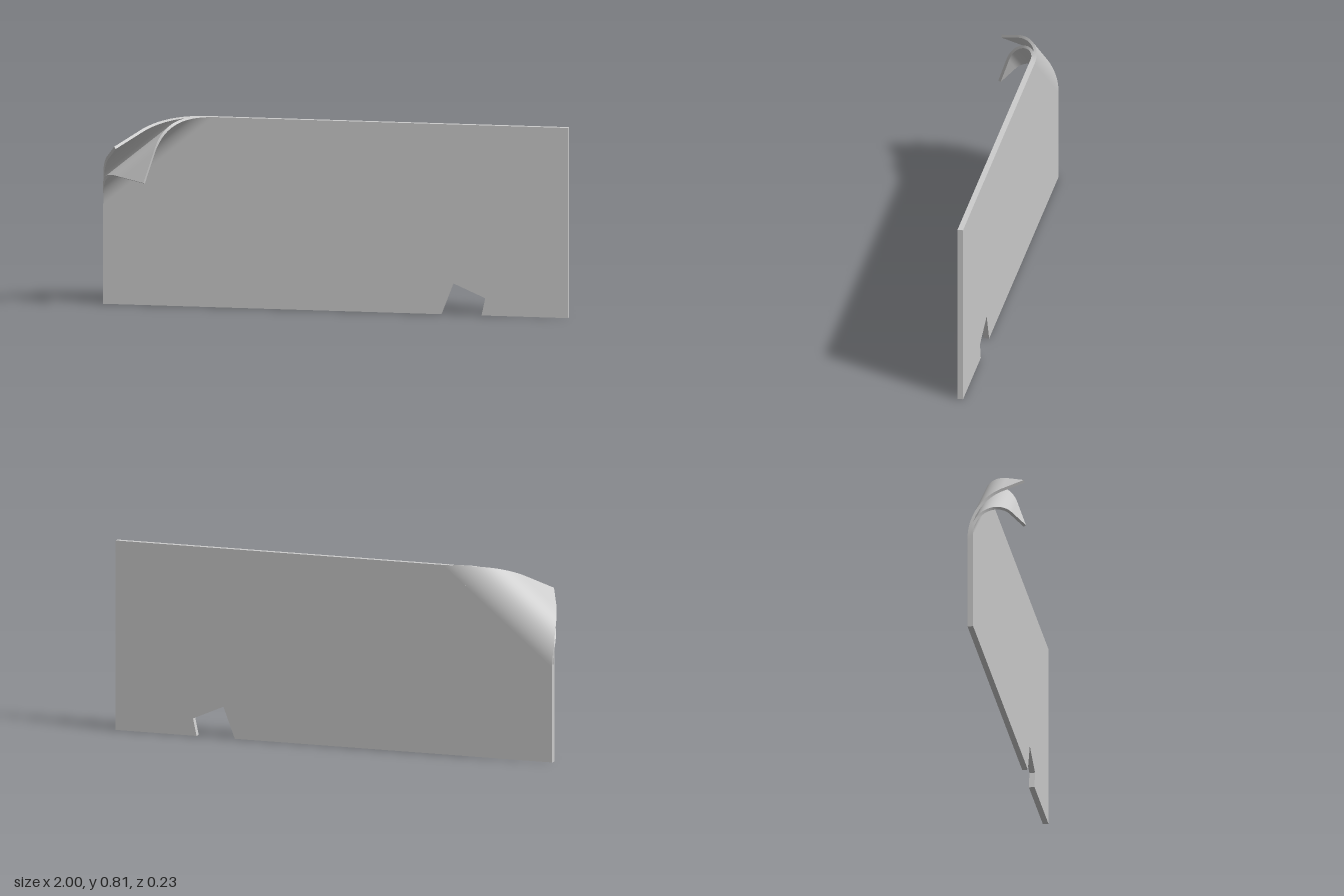
import * as THREE from 'three';

const H = 0.813;          // sheet height
const T = 0.012;          // thickness of one layer
const NX = -0.63, NY = 0.777; // direction across the crease, towards the corner

const material = new THREE.MeshStandardMaterial({ color: 0xcccccc });

// Flat part of one layer: corner cut along the crease, notch in the lower edge
function flatLayer(reach, zBack) {
  const outline = [
    [-1, 0], [0.453, 0], [0.505, 0.134], [0.644, 0.074], [0.628, 0],
    [1, 0], [1, H], [-1 - reach / NX, H], [-1, H - reach / NY],
  ];
  const shape = new THREE.Shape(outline.map(([x, y]) => new THREE.Vector2(x, y)));
  const geo = new THREE.ExtrudeGeometry(shape, { depth: T, bevelEnabled: false });
  geo.translate(0, 0, zBack);
  return geo;
}

// Peeled corner: a triangle rolled through an arc, then running straight to its tip
function curledCorner(bend, tail, angle, zBack) {
  const reach = bend + tail, r = bend / angle, steps = 48;
  const loops = [];
  for (let i = 0; i <= steps; i++) {
    const s = reach * i / steps;
    const a = Math.min(s / r, angle);
    const rest = Math.max(s - bend, 0);
    const across = r * Math.sin(a) + rest * Math.cos(a);
    const z = zBack + T / 2 + r * (1 - Math.cos(a)) + rest * Math.sin(a);
    const left = reach - s; // distance still to go to the corner
    const ends = [[-1 - left / NX, H], [-1, H - left / NY]];
    const point = ([x, y], side) => {
      const d = across - s - side * Math.sin(a) * T / 2;
      return [x + d * NX, y + d * NY, z + side * Math.cos(a) * T / 2];
    };
    loops.push([point(ends[0], 1), point(ends[1], 1), point(ends[1], -1), point(ends[0], -1)]);
  }
  // Four separate strips keep the paper edges sharp and the faces smooth
  const pos = [], index = [];
  for (let k = 0; k < 4; k++) {
    const base = pos.length / 3;
    loops.forEach((loop, i) => {
      pos.push(...loop[k], ...loop[(k + 1) % 4]);
      if (i === steps) return;
      const a = base + i * 2;
      index.push(a, a + 2, a + 1, a + 1, a + 2, a + 3);
    });
  }
  const geo = new THREE.BufferGeometry();
  geo.setAttribute('position', new THREE.Float32BufferAttribute(pos, 3));
  geo.setIndex(index);
  geo.computeVertexNormals();
  return geo;
}

export function createModel() {
  const model = new THREE.Group();
  model.name = 'peelingSheet';
  const layers = [
    { name: 'backLayer', bend: 0.224, tail: 0.089, angle: 1.42, z: -0.114 },
    { name: 'frontLayer', bend: 0.21, tail: 0.089, angle: 2.63, z: -0.102 },
  ];
  for (const { name, bend, tail, angle, z } of layers) {
    const layer = new THREE.Group();
    layer.name = name;
    const flat = new THREE.Mesh(flatLayer(bend + tail, z), material);
    flat.name = name + 'Sheet';
    const curl = new THREE.Mesh(curledCorner(bend, tail, angle, z), material);
    curl.name = name + 'CurledCorner';
    layer.add(flat, curl);
    model.add(layer);
  }
  return model;
}
